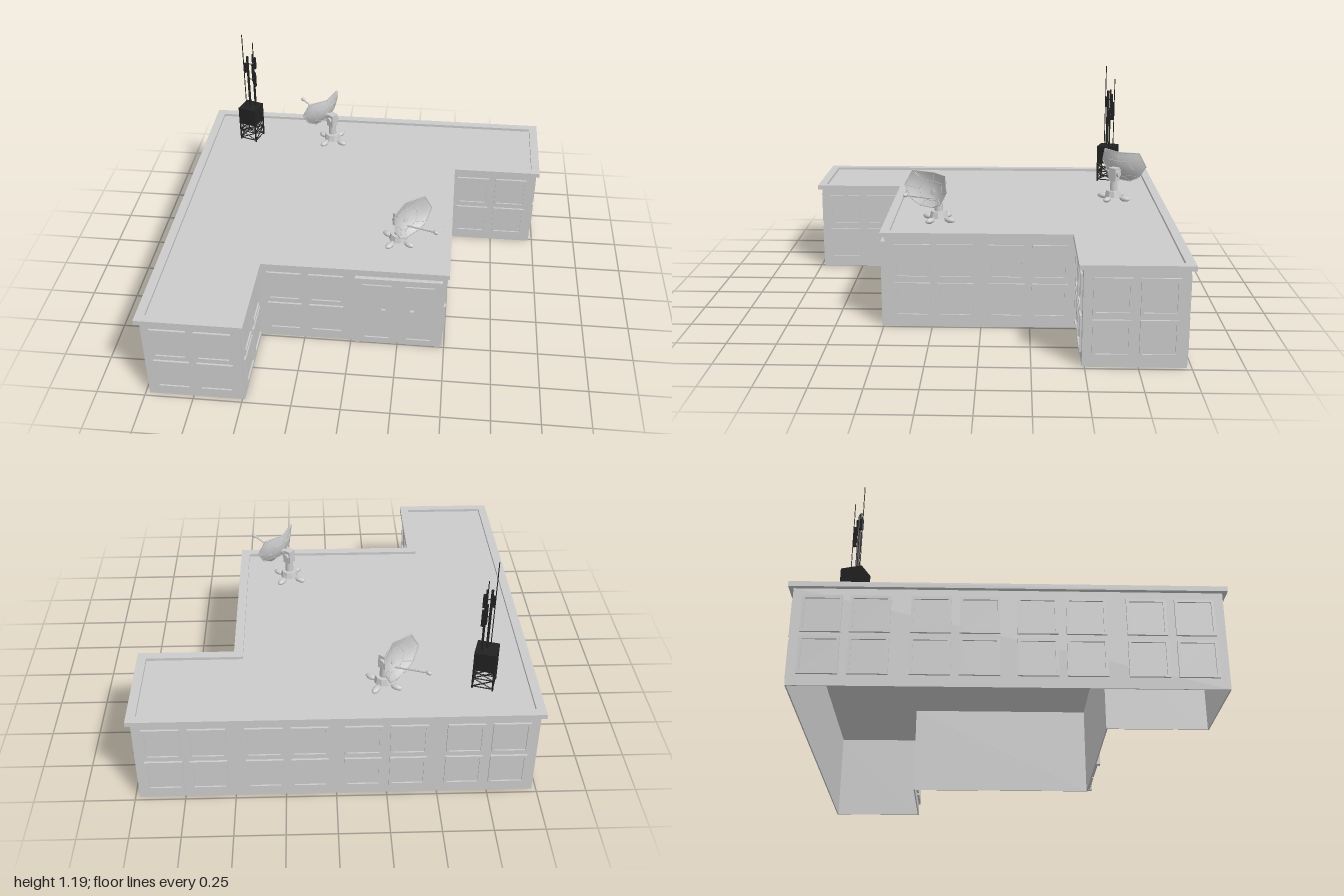
import * as THREE from 'three';

const grey = new THREE.MeshStandardMaterial({ color: 0xcccccc });
const facet = new THREE.MeshStandardMaterial({ color: 0xcccccc, flatShading: true });
const shell = new THREE.MeshStandardMaterial({ color: 0xcccccc, side: THREE.DoubleSide });
const black = new THREE.MeshStandardMaterial({ color: 0x222222 });

function add(parent, name, geometry, material, x = 0, y = 0, z = 0) {
  const mesh = new THREE.Mesh(geometry, material);
  mesh.name = name;
  mesh.position.set(x, y, z);
  parent.add(mesh);
  return mesh;
}

function group(parent, name, x = 0, y = 0, z = 0, yaw = 0) {
  const g = new THREE.Group();
  g.name = name;
  g.position.set(x, y, z);
  g.rotation.y = yaw;
  parent.add(g);
  return g;
}

const box = (w, h, d) => new THREE.BoxGeometry(w, h, d);

// Straight rod between two points
function rod(parent, name, a, b, r, material, sides = 6) {
  const p = new THREE.Vector3(...a), q = new THREE.Vector3(...b);
  const mesh = add(parent, name, new THREE.CylinderGeometry(r, r, p.distanceTo(q), sides), material);
  mesh.position.copy(p).lerp(q, 0.5);
  mesh.quaternion.setFromUnitVectors(new THREE.Vector3(0, 1, 0), q.sub(p).normalize());
  return mesh;
}

// Stepped plan of the building, inset by d from the roof edge
function plan(d) {
  const a = 1 - d, b = 0.51 - d, c = -0.465 - d;
  return [[-a, -a], [a, -a], [a, c], [b, c], [b, b], [c, b], [c, a], [-a, a]]
    .map(([x, z]) => new THREE.Vector2(x, z));
}

// Plan slab from yBottom to yTop, optionally hollow
function slab(outer, inner, yBottom, yTop) {
  const shape = new THREE.Shape(plan(outer));
  if (inner !== null) shape.holes.push(new THREE.Path(plan(inner)));
  const geo = new THREE.ExtrudeGeometry(shape, { depth: yTop - yBottom, bevelEnabled: false });
  return geo.rotateX(Math.PI / 2).translate(0, yTop, 0);
}

// Rectangular frame in the xy plane, centred, facing +z
function frame(w, h, t, depth) {
  const rect = (T, a, b) => new T([[-a, -b], [a, -b], [a, b], [-a, b]].map(p => new THREE.Vector2(...p)));
  const shape = rect(THREE.Shape, w / 2, h / 2);
  shape.holes.push(rect(THREE.Path, w / 2 - t, h / 2 - t));
  return new THREE.ExtrudeGeometry(shape, { depth, bevelEnabled: false });
}

function addWindows(root) {
  const near = [0.13, 0.35], far = [0.623, 0.843];
  const neg = list => list.map(v => -v);
  const all = [...near, ...far, ...neg(near), ...neg(far)];
  // [axis, wall position, outward sign, column centres]
  const walls = [
    ['z', -0.978, -1, all], ['x', -0.978, -1, all],
    ['x', 0.978, 1, neg(far)], ['z', -0.487, 1, far],
    ['x', 0.488, 1, [...near, ...neg(near)]], ['z', 0.488, 1, neg(near)],
    ['x', -0.487, 1, far], ['z', 0.978, 1, neg(far)],
  ];
  const frameGeo = frame(0.182, 0.182, 0.014, 0.011), paneGeo = box(0.16, 0.16, 0.006);
  for (const [axis, at, sign, columns] of walls) {
    for (const c of columns) for (const y of [0.145, 0.35]) {
      const yaw = axis === 'x' ? sign * Math.PI / 2 : (sign > 0 ? 0 : Math.PI);
      const w = axis === 'x' ? group(root, 'window', at, y, c, yaw) : group(root, 'window', c, y, at, yaw);
      add(w, 'windowFrame', frameGeo, grey);
      add(w, 'windowPane', paneGeo, grey);
    }
  }
}

function addEntrance(root) {
  const g = group(root, 'entrance', 0.25, 0, 0.488);
  add(g, 'lintel', box(0.45, 0.025, 0.028), grey, 0, 0.437, 0.008);
  for (const s of [-1, 1]) {
    add(g, 'doorPost', box(0.024, 0.45, 0.028), grey, s * 0.215, 0.225, 0.008);
    add(g, 'doorLeaf', box(0.19, 0.42, 0.014), grey, s * 0.104, 0.212, 0.003);
    add(g, 'doorTrim', frame(0.15, 0.37, 0.01, 0.008), grey, s * 0.112, 0.22, 0.01);
    add(g, 'doorHandle', box(0.022, 0.045, 0.014), grey, s * 0.075, 0.222, 0.016);
  }
}

// Reflector: nine-sided outline pressed into a shallow bowl
const RIM = [[-0.115, 0.09], [0, 0.1], [0.115, 0.09], [0.145, 0.01], [0.1, -0.055],
  [0.045, -0.078], [-0.045, -0.078], [-0.1, -0.055], [-0.145, 0.01]];
const bowl = (i, t) => {
  const [x, y] = RIM[i % RIM.length];
  return [x * t, y * t, 3 * (x * x + y * y) * t * t];
};

function reflectorGeometry() {
  const n = RIM.length, rings = 5, pos = [0, 0, 0], idx = [];
  for (let r = 1; r <= rings; r++) for (let i = 0; i < n; i++) pos.push(...bowl(i, r / rings));
  for (let i = 0; i < n; i++) {
    const j = (i + 1) % n;
    idx.push(0, 1 + j, 1 + i);
    for (let r = 0; r < rings - 1; r++) {
      const a = 1 + r * n, b = a + n;
      idx.push(a + i, a + j, b + i, a + j, b + j, b + i);
    }
  }
  const geo = new THREE.BufferGeometry();
  geo.setAttribute('position', new THREE.Float32BufferAttribute(pos, 3));
  geo.setIndex(idx);
  geo.computeVertexNormals();
  return geo;
}

function addDish(root, x, z, yaw) {
  const g = group(root, 'satelliteDish', x, 0.49, z, yaw);
  // Four splayed feet around a hub
  for (let k = 0; k < 4; k++) {
    const a = k * Math.PI / 2 + 0.05;
    const foot = add(g, 'footPad', new THREE.SphereGeometry(1, 10, 6), grey,
      Math.sin(a) * 0.072, 0.016, Math.cos(a) * 0.072);
    foot.scale.set(0.018, 0.015, 0.032);
    foot.rotation.y = a;
    rod(g, 'footArm', [0, 0.03, 0], [Math.sin(a) * 0.06, 0.02, Math.cos(a) * 0.06], 0.008, grey);
  }
  add(g, 'hub', new THREE.CylinderGeometry(0.042, 0.05, 0.035, 10), facet, 0, 0.04, 0);
  add(g, 'mast', new THREE.CylinderGeometry(0.02, 0.023, 0.075, 10), grey, 0, 0.09, 0);
  add(g, 'pivotHousing', box(0.045, 0.075, 0.045), grey, 0, 0.15, 0);
  const axle = add(g, 'pivotAxle', new THREE.CylinderGeometry(0.017, 0.017, 0.07, 10), grey, 0, 0.155, 0);
  axle.rotation.z = Math.PI / 2;
  rod(g, 'dishMount', [0, 0.155, 0], [0, 0.167, 0.05], 0.016, grey, 8);

  const head = group(g, 'reflectorHead', 0, 0.165, 0.045);
  head.rotation.x = -0.35;
  add(head, 'reflector', reflectorGeometry(), shell);
  // Panel seams
  RIM.forEach((_, i) => {
    rod(head, 'innerSeam', bowl(i, 0.55), bowl(i + 1, 0.55), 0.0022, grey, 5);
    rod(head, 'radialSeam', bowl(i, 0.55), bowl(i, 1), 0.0022, grey, 5);
    rod(head, 'rim', bowl(i, 1), bowl(i + 1, 1), 0.003, grey, 5);
  });
  // Feed arm and receiver
  rod(g, 'feedArm', [0, 0.135, 0.06], [0, 0.19, 0.25], 0.0045, grey);
  const feed = add(g, 'feedHorn', new THREE.SphereGeometry(0.011, 10, 8), grey, 0, 0.19, 0.25);
  feed.scale.z = 1.5;
}

function addAntenna(root) {
  const g = group(root, 'antennaTower', -0.735, 0.49, -0.735, -0.31);
  const h = 0.05, top = 0.115;
  const corners = [[-h, -h], [h, -h], [h, h], [-h, h]];
  // Lattice base
  corners.forEach(([x, z], i) => {
    const [u, w] = corners[(i + 1) % 4];
    rod(g, 'towerLeg', [x, 0, z], [x, top, z], 0.005, black);
    for (const y of [0.01, 0.06]) {
      rod(g, 'towerRail', [x, y, z], [u, y, w], 0.003, black);
      rod(g, 'towerBrace', [x, y, z], [u, y + 0.05, w], 0.003, black);
      rod(g, 'towerBrace', [u, y, w], [x, y + 0.05, z], 0.003, black);
    }
  });
  add(g, 'equipmentCabinet', box(0.108, 0.105, 0.108), black, 0, 0.163, 0);

  // Masts and whips: [x, z, top, radius]
  for (const [x, z, y, r] of [[-0.013, 0.026, 0.695, 0.0025], [0.019, -0.035, 0.625, 0.0025],
    [0.003, 0.008, 0.55, 0.007], [0.026, -0.012, 0.56, 0.005]]) {
    rod(g, 'antennaMast', [x, 0.21, z], [x, y, z], r, black);
  }
  // Panel aerials
  for (const [x, y, z, len] of [[0.035, 0.5, -0.02, 0.07], [0.035, 0.395, -0.01, 0.09],
    [-0.008, 0.48, 0.018, 0.06], [0.018, 0.43, -0.025, 0.11]]) {
    add(g, 'panelAerial', box(0.012, len, 0.016), black, x, y, z);
  }
  for (const y of [0.4, 0.5]) rod(g, 'mastBracket', [0.003, y, 0.008], [0.035, y, -0.015], 0.003, black);
}

export function createModel() {
  const root = new THREE.Group();
  root.name = 'officeBuilding';
  // Thin hollow walls, open underneath, with a rimmed flat roof
  add(root, 'walls', slab(0.022, 0.028, 0, 0.482), grey);
  add(root, 'roofDeck', slab(0.03, null, 0.478, 0.49), grey);
  add(root, 'roofRim', slab(0, 0.046, 0.48, 0.505), grey);
  addWindows(root);
  addEntrance(root);
  addDish(root, 0.228, 0.23, 0.91);
  addDish(root, -0.24, -0.73, 0.91 + Math.PI);
  addAntenna(root);
  return root;
}
